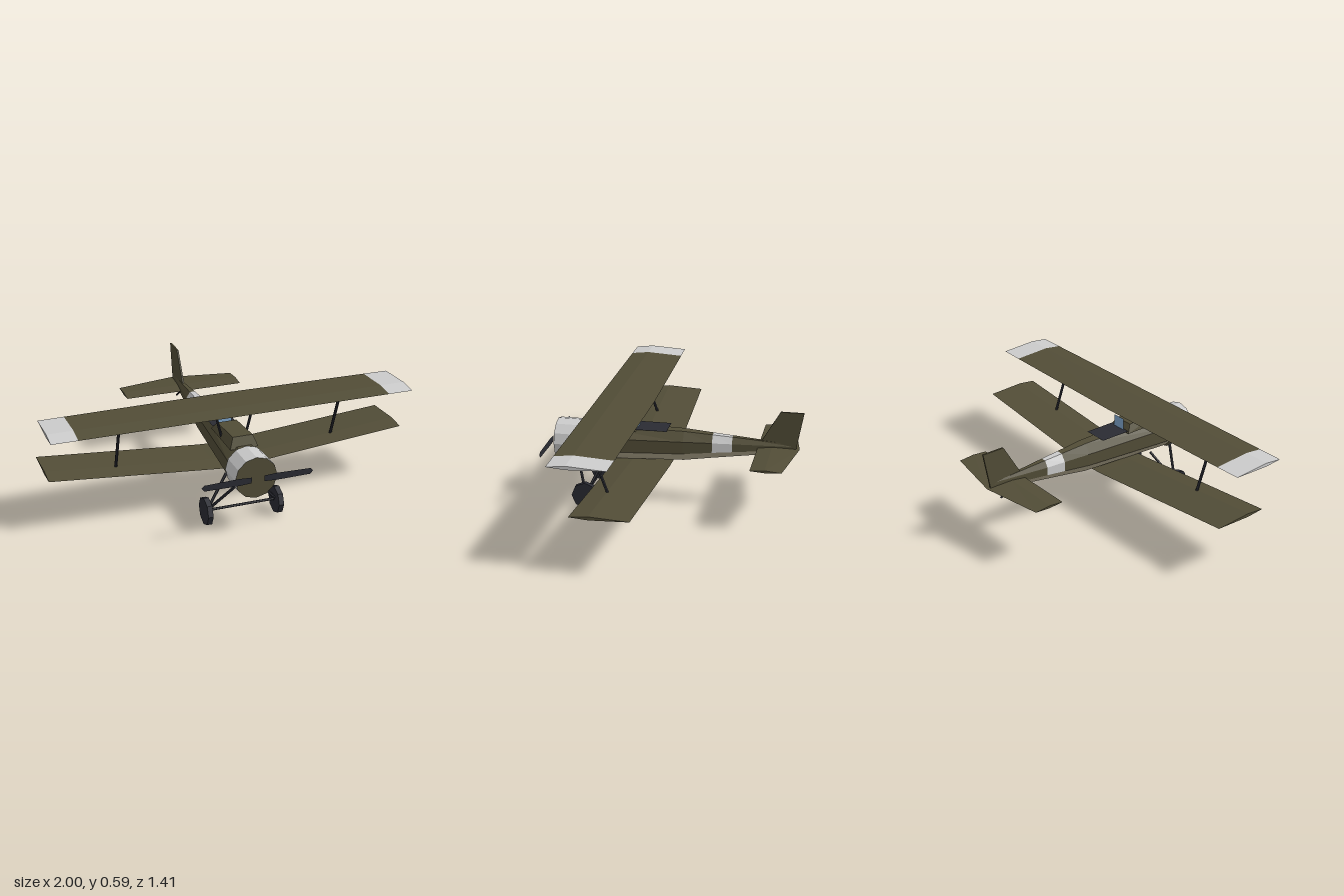
import * as THREE from 'three';

const paint = (color) => new THREE.MeshStandardMaterial({ color, flatShading: true, side: THREE.DoubleSide });
const olive = paint(0x524d37);
const beige = paint(0xb0a68c);
const white = paint(0xcccccc);
const dark = paint(0x2a2b33);
const glass = paint(0x7fa6cc);

const V = (x, y, z) => new THREE.Vector3(x, y, z);
const lerp = THREE.MathUtils.lerp;

// Quad surface through rows of points, outward side = column direction x row direction
function surface(rows) {
  const pos = [];
  for (let i = 0; i < rows.length - 1; i++) {
    for (let j = 0; j < rows[i].length - 1; j++) {
      const a = rows[i][j], b = rows[i][j + 1], c = rows[i + 1][j + 1], d = rows[i + 1][j];
      for (const t of [[a, b, c], [a, c, d]]) {
        if (t[0].equals(t[1]) || t[1].equals(t[2]) || t[2].equals(t[0])) continue;
        for (const p of t) pos.push(p.x, p.y, p.z);
      }
    }
  }
  const g = new THREE.BufferGeometry();
  g.setAttribute('position', new THREE.Float32BufferAttribute(pos, 3));
  g.computeVertexNormals();
  return g;
}

export function createModel() {
  const model = new THREE.Group();
  model.name = 'biplane';

  const add = (name, geometry, material, parent = model) => {
    const mesh = new THREE.Mesh(geometry, material);
    mesh.name = name;
    parent.add(mesh);
    return mesh;
  };

  // Round bar between two points
  const bar = (name, a, b, r) => {
    const mesh = add(name, new THREE.CylinderGeometry(r, r, a.distanceTo(b), 6), dark);
    mesh.position.copy(a).add(b).multiplyScalar(0.5);
    mesh.quaternion.setFromUnitVectors(V(0, 1, 0), b.clone().sub(a).normalize());
  };

  // Fuselage: eight-sided sections [z, half width, top, bottom]
  const sections = [
    [0.53, 0.1, 0.437, 0.237],
    [-0.05, 0.062, 0.43, 0.26],
    [-0.21, 0.046, 0.419, 0.283],
    [-0.32, 0.036, 0.412, 0.298],
    [-0.67, 0.003, 0.388, 0.345],
  ];
  const upper = [], lower = [];
  for (const [z, w, top, bottom] of sections) {
    const c = w * 0.414, hi = lerp(bottom, top, 0.7), lo = lerp(bottom, top, 0.29);
    upper.push([V(-w, lo, z), V(-w, hi, z), V(-c, top, z), V(c, top, z), V(w, hi, z), V(w, lo, z)]);
    lower.push([V(w, lo, z), V(c, bottom, z), V(-c, bottom, z), V(-w, lo, z)]);
  }
  const fuselage = new THREE.Group();
  fuselage.name = 'fuselage';
  model.add(fuselage);
  add('fuselageFront', surface(upper.slice(0, 3)), olive, fuselage);
  add('fuselageBand', surface(upper.slice(2, 4)), white, fuselage);
  add('fuselageRear', surface(upper.slice(3)), olive, fuselage);
  add('fuselageUnderside', surface(lower), beige, fuselage);

  // Engine cowling with painted front face
  const cowling = new THREE.CylinderGeometry(0.115, 0.115, 0.145, 12);
  cowling.rotateX(Math.PI / 2).translate(0, 0.335, 0.603);
  add('cowling', cowling, [white, olive, olive]);

  // Propeller blades
  for (const s of [-1, 1]) {
    const blade = new THREE.Shape([
      [0.035, -0.016], [0.1, -0.02], [0.29, -0.018], [0.305, 0], [0.29, 0.015], [0.1, 0.02], [0.035, 0.016],
    ].map(([x, y]) => new THREE.Vector2(s * x, y)));
    add('propellerBlade', new THREE.ShapeGeometry(blade).translate(0, 0.338, 0.7), dark);
  }

  // Sloped fairing ahead of the cockpit
  const fairing = new THREE.BoxGeometry(1, 1, 1);
  const p = fairing.attributes.position;
  for (let i = 0; i < p.count; i++) {
    const front = p.getZ(i) > 0, top = p.getY(i) > 0;
    p.setXYZ(i, Math.sign(p.getX(i)) * (top ? 0.055 : 0.078),
      top ? (front ? 0.485 : 0.468) : 0.425,
      front ? (top ? 0.48 : 0.505) : (top ? 0.245 : 0.215));
  }
  fairing.computeVertexNormals();
  add('cockpitFairing', fairing, olive);

  // Cockpit opening and windscreen
  add('cockpit', new THREE.PlaneGeometry(0.14, 0.18).rotateX(-Math.PI / 2).translate(0, 0.437, 0.13), dark);
  add('windscreen', new THREE.PlaneGeometry(0.08, 0.07).translate(0, 0.47, 0.21), glass);

  // Thin lifting surface; stations: [x, y, leading z, peak z, trailing z]
  const wing = (name, half, up, down, tipStart = null) => {
    const group = new THREE.Group();
    group.name = name;
    model.add(group);
    const mirrored = half.slice(1).reverse().map(([x, ...rest]) => [-x, ...rest]).concat(half);
    const tops = [], bottoms = [];
    for (const [x, y, lead, peak, trail] of mirrored) {
      const L = V(x, y, lead), T = V(x, y, trail);
      tops.push([T, V(x, y + up, peak), L]);
      bottoms.push([L, V(x, y - down, peak), T]);
    }
    const n = tops.length;
    const skin = (label, from, to, topPaint, bottomPaint) => {
      add(label + 'Top', surface(tops.slice(from, to + 1)), topPaint, group);
      add(label + 'Underside', surface(bottoms.slice(from, to + 1)), bottomPaint, group);
    };
    const k = tipStart ? 1 : 0;
    skin(name, k, n - 1 - k, olive, beige);
    if (k) {
      skin('rightTip', 0, 1, white, white);
      skin('leftTip', n - 2, n - 1, white, white);
    }
    // End caps
    const edge = k ? white : olive;
    add('leftEnd', surface([tops[n - 1], [...bottoms[n - 1]].reverse()]), edge, group);
    add('rightEnd', surface([[...bottoms[0]].reverse(), tops[0]]), edge, group);
  };

  wing('upperWing', [
    [0, 0.58, 0.445, 0.345, 0.123], [0.86, 0.58, 0.445, 0.345, 0.137], [1, 0.58, 0.445, 0.345, 0.14],
  ], 0.012, 0.008, true);
  wing('lowerWing', [
    [0, 0.236, 0.34, 0.24, 0.018], [0.08, 0.24, 0.34, 0.24, 0.019], [1, 0.323, 0.34, 0.24, 0.032],
  ], 0.011, 0.008);
  wing('tailplane', [
    [0, 0.361, -0.46, -0.54, -0.69], [0.35, 0.361, -0.46, -0.54, -0.63],
  ], 0.008, 0.006);

  // Tail fin, drawn as (z, y) and turned into the centre plane
  const fin = new THREE.Shape([
    [-0.48, 0.4], [-0.58, 0.573], [-0.708, 0.573], [-0.67, 0.36], [-0.6, 0.37],
  ].map(([z, y]) => new THREE.Vector2(-z, y)));
  const finGeometry = new THREE.ExtrudeGeometry(fin, { depth: 0.01, bevelEnabled: false });
  add('tailFin', finGeometry.translate(0, 0, -0.005).rotateY(Math.PI / 2), olive);
  bar('tailSkid', V(0, 0.345, -0.52), V(0, 0.277, -0.605), 0.006);

  // Wing struts, undercarriage legs and wheels, one set per side
  for (const s of [-1, 1]) {
    bar('cabaneStrut', V(s * 0.07, 0.435, 0.35), V(s * 0.105, 0.578, 0.35), 0.007);
    bar('wingStrut', V(s * 0.62, 0.288, 0.235), V(s * 0.62, 0.578, 0.337), 0.008);
    bar('frontLeg', V(s * 0.06, 0.24, 0.55), V(s * 0.195, 0.08, 0.475), 0.008);
    bar('rearLeg', V(s * 0.06, 0.24, 0.4), V(s * 0.195, 0.08, 0.475), 0.008);
    const wheel = new THREE.CylinderGeometry(0.077, 0.077, 0.028, 8);
    add('wheel', wheel.rotateZ(Math.PI / 2).translate(s * 0.2, 0.077, 0.475), dark);
  }
  bar('axle', V(-0.2, 0.08, 0.475), V(0.2, 0.08, 0.475), 0.007);

  return model;
}
